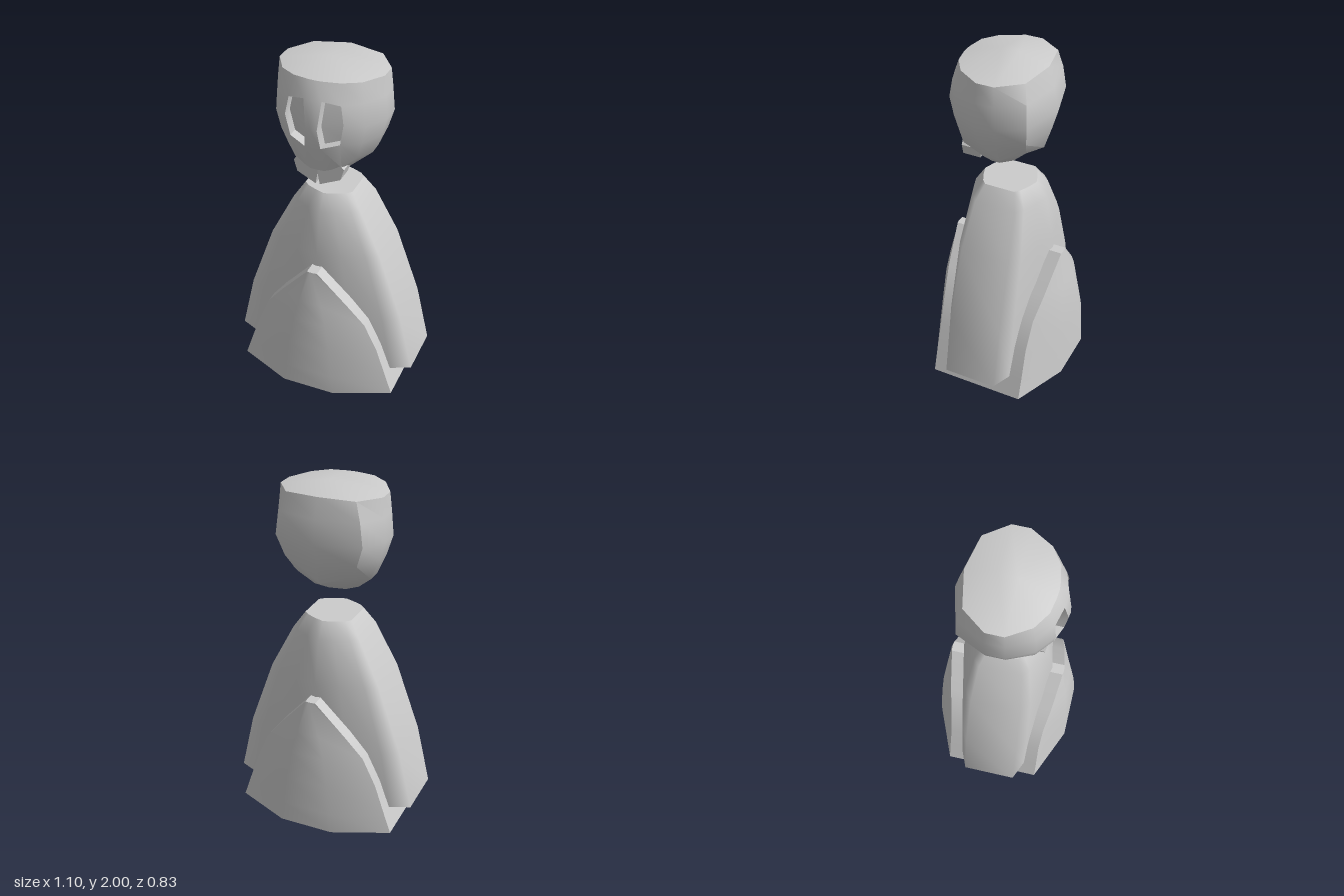
import * as THREE from 'three';
import { toCreasedNormals } from 'three/addons/utils/BufferGeometryUtils.js';

const grey = new THREE.MeshStandardMaterial({ color: 0xcccccc });
grey.name = 'pale grey';

// Surface through rows of points (rows run top to bottom, columns front -> left -> back).
function loft(rows, { closed = true, skip = () => false, crease = 0 } = {}) {
  const n = rows[0].length, index = [];
  const same = (p, q) => p.every((v, k) => v === q[k]);
  for (let i = 0; i < rows.length - 1; i++) {
    for (let j = 0; j < (closed ? n : n - 1); j++) {
      if (skip(i, j)) continue;
      const k = (j + 1) % n;
      const a = i * n + j, b = i * n + k, c = b + n, d = a + n;
      if (!same(rows[i + 1][j], rows[i + 1][k])) index.push(a, d, c);
      if (!same(rows[i][j], rows[i][k])) index.push(a, c, b);
    }
  }
  const g = new THREE.BufferGeometry();
  g.setAttribute('position', new THREE.Float32BufferAttribute(rows.flat(2), 3));
  g.setIndex(index);
  if (crease) return toCreasedNormals(g, crease);
  g.computeVertexNormals();
  return g;
}

function add(parent, name, geometry) {
  const mesh = new THREE.Mesh(geometry, grey);
  mesh.name = name;
  parent.add(mesh);
  return mesh;
}

const collapse = (row, x, y, z) => row.map(() => [x, y, z]);

// Rounded cloak: [y, half width, half depth]
function addCloak(parent) {
  const section = [[0, 1], [0.4, 0.88], [0.8, 0.72], [1, 0.55]];
  const quarter = section.slice(1, 3);
  const ring = ([y, w, d]) => {
    const half = [...section, ...section.slice(1).reverse().map(([x, z]) => [x, -z]), [0, -1]];
    const left = half.slice(1, -1).reverse().map(([x, z]) => [-x, z]);
    return [...half, ...left].map(([x, z]) => [x * w, y, z * d]);
  };
  const rows = [
    [1.22, 0.14, 0.16], [1.13, 0.2, 0.22], [0.87, 0.33, 0.265],
    [0.47, 0.47, 0.28], [0.12, 0.55, 0.28],
  ].map(ring);
  const last = rows[rows.length - 1];
  add(parent, 'cloak', loft(rows));
  add(parent, 'cloakTop', loft([collapse(rows[0], 0, 1.22, 0), rows[0]]));
  add(parent, 'cloakUnderside', loft([last, collapse(last, 0, 0.12, 0)]));
}

// Arched robe, thicker than the cloak at front and back: [y, half width, edge z, middle z]
function addRobe(parent) {
  const rows = [
    [0.795, 0.03, 0.335, 0.338], [0.6, 0.2, 0.31, 0.37], [0.47, 0.3, 0.287, 0.387],
    [0.3, 0.375, 0.278, 0.4], [0.12, 0.435, 0.28, 0.41], [0, 0.475, 0.28, 0.415],
  ].map(([y, w, e, m]) => {
    const front = [[-w, y, e], [-w / 3, y, m], [w / 3, y, m], [w, y, e]];
    return [...front, ...front.map(([x, , z]) => [-x, y, -z])];
  });
  rows.unshift(collapse(rows[0], 0, 0.795, 0));
  rows.push(collapse(rows[0], 0, 0, 0));
  add(parent, 'robe', loft(rows, { crease: 0.6 }));
}

// Skull with two recessed eye sockets
function addSkull(parent) {
  const mirror = half => [...half, ...half.slice(1, -1).reverse().map(([x, y, z]) => [-x, y, z])];
  // Half rings from the nose line round the left side to the back
  const crown = mirror([[0, 1.95, 0.255], [0.04, 1.95, 0.252], [0.13, 1.95, 0.235], [0.22, 1.945, 0.175],
    [0.295, 1.94, 0.05], [0.295, 1.94, -0.05], [0.2, 1.945, -0.18], [0, 1.955, -0.22]]);
  const brow = mirror([[0, 1.86, 0.3], [0.05, 1.86, 0.295], [0.145, 1.84, 0.268], [0.24, 1.84, 0.195],
    [0.306, 1.83, 0.055], [0.306, 1.83, -0.055], [0.23, 1.84, -0.2], [0, 1.84, -0.25]]);
  const middle = mirror([[0, 1.7, 0.325], [0.032, 1.7, 0.32], [0.163, 1.74, 0.28], [0.252, 1.71, 0.2],
    [0.318, 1.7, 0.055], [0.318, 1.7, -0.055], [0.25, 1.71, -0.212], [0, 1.71, -0.278]]);
  const cheek = mirror([[0, 1.59, 0.31], [0.045, 1.59, 0.305], [0.14, 1.615, 0.27], [0.23, 1.6, 0.19],
    [0.285, 1.59, 0.05], [0.285, 1.59, -0.055], [0.21, 1.59, -0.19], [0, 1.59, -0.243]]);
  const rim = mirror([[0, 1.42, 0.245], [0.04, 1.42, 0.243], [0.13, 1.45, 0.222], [0.2, 1.5, 0.17],
    [0.235, 1.47, 0.04], [0.235, 1.47, -0.05], [0.15, 1.5, -0.165], [0, 1.46, -0.2]]);
  const top = crown.map(([, , z]) => [0, 2, THREE.MathUtils.clamp(z, -0.05, 0.05)]);
  const under = rim.map(([x, , z]) => [x * 0.62, 1.39, 0.02 + z * 0.5]);
  const rows = [top, crown, brow, middle, cheek, rim, under, collapse(rim, 0, 1.36, 0.03)];
  const eyeColumns = [1, 12];
  const isEye = (i, j) => (i === 2 || i === 3) && eyeColumns.includes(j);
  add(parent, 'skull', loft(rows, { skip: isEye, crease: 0.75 }));

  eyeColumns.forEach((j, n) => {
    const back = ([x, y, z]) => [x, y, z - 0.06];
    const cells = [brow, middle, cheek].map(r => [r[j], r[j + 1]]);
    const edge = [...cells.map(c => c[1]), ...cells.map(c => c[0]).reverse()];
    const side = n ? 'right' : 'left';
    add(parent, side + 'EyeSocketWall', loft([edge, edge.map(back)], { crease: 0.5 }));
    add(parent, side + 'EyeSocketFloor', loft(cells.map(c => c.map(back)), { closed: false }));
  });
}

// Upper jaw: two halves with a small notch between them
function addJaw(parent) {
  for (const s of [1, -1]) {
    const outline = [[0, 1.47], [0, 1.4], [0.012, 1.33], [0.125, 1.375], [0.145, 1.44], [0.12, 1.47]];
    const shape = new THREE.Shape(outline.map(([x, y]) => new THREE.Vector2(s * x, y)));
    const g = new THREE.ExtrudeGeometry(shape, { depth: 0.09, bevelEnabled: false });
    const p = g.attributes.position;
    // Sweep the jaw back towards its sides and its top rear edge
    for (let i = 0; i < p.count; i++) {
      const rear = p.getZ(i) < 0.01;
      const lift = rear ? (p.getY(i) - 1.33) * 0.3 : 0;
      p.setZ(i, p.getZ(i) + 0.153 - 0.12 * Math.abs(p.getX(i)) - lift);
    }
    g.computeVertexNormals();
    add(parent, s > 0 ? 'leftJaw' : 'rightJaw', g);
  }
}

export function createModel() {
  const model = new THREE.Group();
  model.name = 'cloakedFigure';
  const body = new THREE.Group();
  body.name = 'body';
  addCloak(body);
  addRobe(body);
  const head = new THREE.Group();
  head.name = 'head';
  addSkull(head);
  addJaw(head);
  model.add(body, head);
  return model;
}
